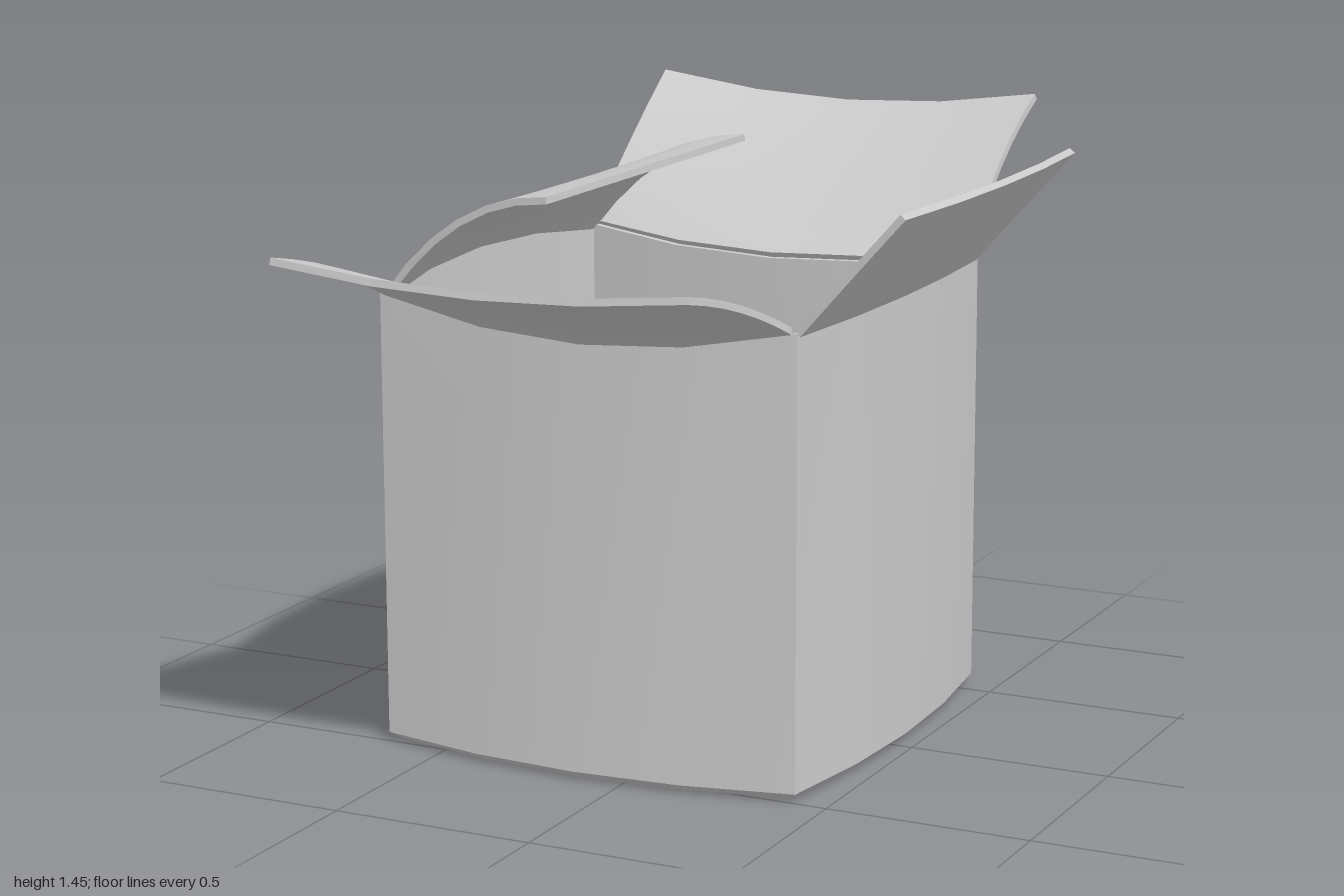
import * as THREE from 'three';

const { lerp } = THREE.MathUtils;
const material = new THREE.MeshStandardMaterial({ color: 0xcccccc, side: THREE.DoubleSide });
const bulge = (u) => 4 * u * (1 - u);
const V = (x, y, z) => new THREE.Vector3(x, y, z);

// Curved cardboard sheet: outer skin point(u, v), inner skin offset along the normals, and a flat rim
function sheet(name, point, nu, nv, thickness = 0.017) {
  const group = new THREE.Group();
  group.name = name;
  const outer = new THREE.PlaneGeometry(1, 1, nu, nv);
  const pos = outer.attributes.position;
  for (let i = 0; i < pos.count; i++) {
    const p = point(pos.getX(i) + 0.5, pos.getY(i) + 0.5);
    pos.setXYZ(i, p.x, p.y, p.z);
  }
  outer.computeVertexNormals();

  const inner = outer.clone();
  const n = outer.attributes.normal;
  for (let i = 0; i < pos.count; i++) {
    inner.attributes.position.setXYZ(i,
      pos.getX(i) - n.getX(i) * thickness,
      pos.getY(i) - n.getY(i) * thickness,
      pos.getZ(i) - n.getZ(i) * thickness);
  }
  inner.setIndex(Array.from(outer.index.array).reverse());
  inner.computeVertexNormals();

  // Walk round the border of the grid
  const w = nu + 1, border = [];
  for (let i = 0; i < nu; i++) border.push(i);
  for (let j = 0; j < nv; j++) border.push(j * w + nu);
  for (let i = nu; i > 0; i--) border.push(nv * w + i);
  for (let j = nv; j > 0; j--) border.push(j * w);
  const at = (g, i) => new THREE.Vector3().fromBufferAttribute(g.attributes.position, i);
  const rimPoints = [];
  border.forEach((a, k) => {
    const b = border[(k + 1) % border.length];
    const [oa, ob, ia, ib] = [at(outer, a), at(outer, b), at(inner, a), at(inner, b)];
    rimPoints.push(oa, ob, ia, ob, ib, ia);
  });
  const rim = new THREE.BufferGeometry().setFromPoints(rimPoints);
  rim.computeVertexNormals();

  for (const [part, g] of [['Outside', outer], ['Inside', inner], ['Rim', rim]]) {
    const mesh = new THREE.Mesh(g, material);
    mesh.name = name + part;
    group.add(mesh);
  }
  return group;
}

// Wall surfaces, u running anticlockwise round the box and v upwards
const X0 = -0.66, X1 = 0.42, Z0 = -0.573, Z1 = 0.495, BASE = 0.02;
const walls = {
  front: (u, v) => V(lerp(X0, X1, u), lerp(BASE, 1.1 - 0.07 * bulge(u), v), Z1 + bulge(u) * lerp(0.075, 0.02, v)),
  right: (u, v) => V(X1 + bulge(u) * lerp(0.048, 0.025, v), lerp(BASE, 1.09, v), lerp(Z1, Z0, u)),
  back: (u, v) => V(lerp(X1, X0, u), lerp(BASE, 1.1 - 0.04 * bulge(u), v), Z0 + bulge(u) * lerp(0.035, 0.05, v)),
  left: (u, v) => V(X0 - 0.043 * bulge(u), lerp(BASE, 1.09 + 0.04 * bulge(u), v), lerp(Z0, Z1, u)),
};

// Each flap passes from its hinge through a middle line to its tip
const flaps = {
  front: {
    mid: (u) => V(lerp(-0.64, 0.4, u), 1.19 - 0.05 * bulge(u), 0.74),
    tip: (u) => V(lerp(-0.64, 0.4, u), 1.255 - 0.035 * bulge(u), 1.0),
  },
  right: {
    mid: (u) => V(0.545 + 0.03 * bulge(u), 1.23, lerp(0.485, -0.56, u)),
    tip: (u) => V(0.675 + 0.025 * bulge(u), 1.375, lerp(0.485, -0.56, u)),
  },
  back: {
    mid: (u) => V(lerp(0.4, -0.64, u), 1.29 - 0.045 * bulge(u), -0.775),
    tip: (u) => V(lerp(0.41, -0.65, u), 1.435 - 0.05 * bulge(u), -0.985 - 0.015 * bulge(u)),
  },
  left: {
    mid: (u) => V(-0.455, 1.29, lerp(-0.57, 0.485, u)),
    tip: (u) => V(-0.22, 1.36, lerp(-0.57, 0.485, u)),
  },
};

// Base slab with a bevelled lower edge following the foot of the walls
function createBase() {
  const ring = [];
  for (const side of Object.values(walls)) for (let i = 0; i < 4; i++) ring.push(side(i / 4, 0));
  const cx = (X0 + X1) / 2, cz = (Z0 + Z1) / 2;
  const low = ring.map((p) => V(lerp(cx, p.x, 0.955), 0, lerp(cz, p.z, 0.955)));
  const points = [];
  ring.forEach((a, i) => {
    const j = (i + 1) % ring.length, b = ring[j];
    points.push(V(cx, 0, cz), low[j], low[i]);
    points.push(low[i], low[j], a, low[j], b, a);
    points.push(V(cx, BASE, cz), a, b);
  });
  const g = new THREE.BufferGeometry().setFromPoints(points);
  g.computeVertexNormals();
  const mesh = new THREE.Mesh(g, material);
  mesh.name = 'base';
  return mesh;
}

export function createModel() {
  const box = new THREE.Group();
  box.name = 'openCardboardBox';
  box.add(createBase());

  for (const side of Object.keys(walls)) {
    const wall = walls[side], { mid, tip } = flaps[side];
    box.add(sheet(side + 'Wall', wall, 4, 1));
    const flapPoint = (u, v) => {
      const hinge = wall(lerp(0.012, 0.988, u), 1), end = tip(u);
      const control = mid(u).multiplyScalar(2).addScaledVector(hinge, -0.5).addScaledVector(end, -0.5);
      return hinge.multiplyScalar((1 - v) ** 2)
        .addScaledVector(control, 2 * v * (1 - v))
        .addScaledVector(end, v * v);
    };
    box.add(sheet(side + 'Flap', flapPoint, 4, 6));
  }

  // Folded flaps lying on the floor inside
  for (const [side, dir] of [['right', -1], ['left', 1]]) {
    const floorFlap = (u, v) => {
      const p = walls[side](lerp(0.02, 0.98, u), 0);
      return V(p.x + dir * lerp(0.01, 0.28, v), BASE + 0.012, p.z);
    };
    box.add(sheet(side + 'FloorFlap', floorFlap, 4, 1, -0.01));
  }
  return box;
}
